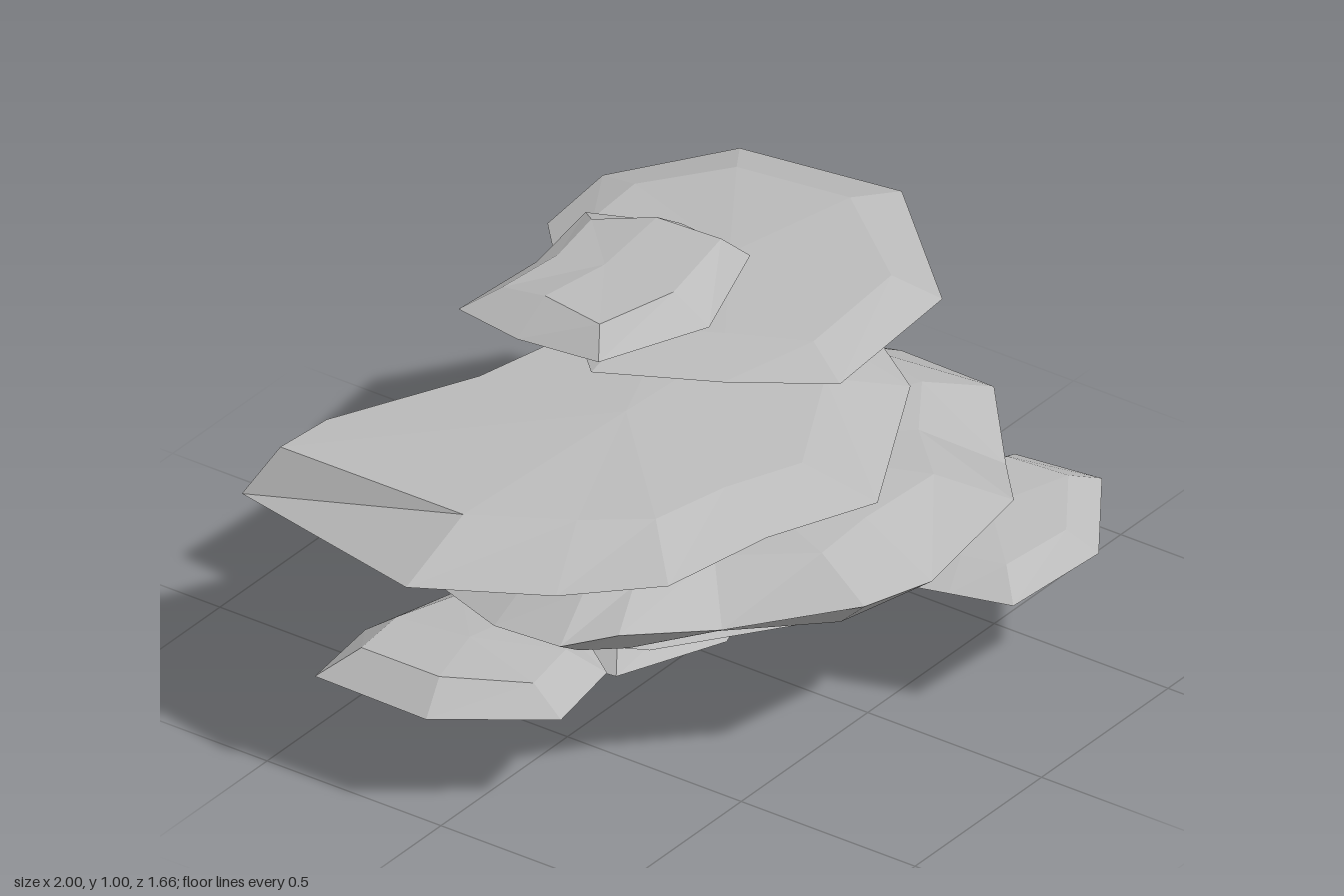
import * as THREE from 'three';

const stone = new THREE.MeshStandardMaterial({ color: 0xbababa });
stone.name = 'grey stone';

// Faceted slab: bottom hub, bottom ring, rim, top ring and top hub.
// Rim points are [x, z, rimY, topY, topInset], running counterclockwise from above.
function slab(name, { hub: [cx, cz], top, bottom, inset = 0.7, under = 0.7, rim }) {
  const ring = (scale, height) => rim.map((p) => {
    const s = scale(p);
    return [cx + (p[0] - cx) * s, height(p), cz + (p[1] - cz) * s];
  });
  const rings = [
    ring(() => under, (p) => bottom + (p[2] - bottom) * 0.2),
    ring(() => 1, (p) => p[2]),
    ring((p) => p[4] ?? inset, (p) => p[3]),
  ];
  const low = [cx, bottom, cz], high = [cx, top, cz], pos = [];
  const tri = (...corners) => corners.forEach((c) => pos.push(...c));
  rim.forEach((_, i) => {
    const j = (i + 1) % rim.length;
    tri(low, rings[0][j], rings[0][i]);
    for (let k = 0; k < 2; k++) {
      const [a, b] = [rings[k], rings[k + 1]];
      tri(a[i], a[j], b[j]);
      tri(a[i], b[j], b[i]);
    }
    tri(high, rings[2][i], rings[2][j]);
  });
  const geometry = new THREE.BufferGeometry();
  geometry.setAttribute('position', new THREE.Float32BufferAttribute(pos, 3));
  geometry.computeVertexNormals();
  const mesh = new THREE.Mesh(geometry, stone);
  mesh.name = name;
  return mesh;
}

// Small bean-shaped slab, shared by the top and bottom of the stack
function smallSlab(name, dx, y) {
  const rim = [
    [-0.37, -0.24, 0.045, 0.115, 0.68], [-0.35, -0.02, 0.05, 0.11, 0.8], [-0.05, 0.08, 0.035, 0.095, 0.66],
    [0.25, -0.02, 0.05, 0.11, 0.8], [0.28, -0.24, 0.045, 0.115, 0.68], [0.19, -0.45, 0.045, 0.085, 0.7],
    [-0.06, -0.41, 0.045, 0.085, 0.68], [-0.34, -0.43, 0.045, 0.085, 0.7],
  ].map(([x, z, r, t, s]) => [x + dx, z, r + y, t + y, s]);
  return slab(name, { hub: [dx - 0.05, -0.22], top: y + 0.1, bottom: y, under: 0.65, rim });
}

// Medium slab, used above and below the large ones
function mediumSlab(name, dx, y) {
  const rim = [
    [-0.2, -0.15, 0.07, 0.11], [-0.05, 0.12, 0.065, 0.11], [0.11, 0.34, 0.06, 0.105, 0.76],
    [0.57, 0.3, 0.055, 0.105, 0.76], [0.89, -0.05, 0.07, 0.118], [0.84, -0.48, 0.06, 0.112],
    [0.56, -0.67, 0.055, 0.1, 0.75], [0.3, -0.64, 0.06, 0.11, 0.75], [0.07, -0.43, 0.06, 0.11, 0.75],
  ].map(([x, z, r, t, s]) => [x + dx, z, r + y, t + y, s]);
  return slab(name, { hub: [dx + 0.36, -0.16], top: y + 0.12, bottom: y, rim });
}

export function createModel() {
  const model = new THREE.Group();
  model.name = 'stacked slabs';
  model.add(
    smallSlab('topSlab', 0, 0.885),
    mediumSlab('upperMediumSlab', 0, 0.72),
    // Broad slab reaching out to the right
    slab('upperLargeSlab', {
      hub: [-0.2, -0.05], top: 0.72, bottom: 0.56,
      rim: [
        [-1, -0.1, 0.61, 0.712, 0.74], [-0.82, 0.2, 0.605, 0.695], [-0.65, 0.4, 0.62, 0.69],
        [-0.33, 0.45, 0.615, 0.68], [-0.03, 0.55, 0.6, 0.67], [0.43, 0.31, 0.61, 0.685],
        [0.65, -0.02, 0.62, 0.71], [0.5, -0.33, 0.62, 0.72, 0.88], [0, -0.4, 0.6, 0.72, 0.9],
        [-0.28, -0.46, 0.6, 0.72, 0.9], [-0.69, -0.65, 0.6, 0.72, 0.9], [-0.88, -0.66, 0.61, 0.725, 0.9],
      ],
    }),
    // Thick slab in the middle
    slab('middleSlab', {
      hub: [0, 0], top: 0.56, bottom: 0.36, under: 0.86,
      rim: [
        [-0.79, 0, 0.44, 0.52, 0.78], [-0.79, 0.19, 0.45, 0.52, 0.82], [-0.71, 0.3, 0.48, 0.525, 0.8],
        [-0.48, 0.43, 0.43, 0.525, 0.72], [-0.26, 0.68, 0.475, 0.53, 0.75], [0.02, 0.67, 0.405, 0.515, 0.72],
        [0.33, 0.68, 0.48, 0.53, 0.75], [0.56, 0.49, 0.4, 0.52, 0.72], [0.76, 0.31, 0.45, 0.525, 0.76],
        [0.82, 0, 0.41, 0.52, 0.76], [0.72, -0.3, 0.41, 0.525, 0.76], [0.4, -0.68, 0.41, 0.52, 0.76],
        [0, -0.42, 0.41, 0.53, 0.74], [-0.26, -0.65, 0.41, 0.52, 0.74], [-0.55, -0.6, 0.41, 0.52, 0.74],
      ],
    }),
    // Broad slab reaching out to the left and back
    slab('lowerLargeSlab', {
      hub: [0.25, -0.1], top: 0.4, bottom: 0.21,
      rim: [
        [-0.62, -0.1, 0.29, 0.37], [-0.45, 0.2, 0.28, 0.37], [-0.1, 0.45, 0.28, 0.36],
        [0.35, 0.54, 0.27, 0.36], [0.78, 0.26, 0.28, 0.37], [1, -0.33, 0.3, 0.385],
        [0.84, -0.55, 0.31, 0.4, 0.86], [0.82, -0.64, 0.31, 0.41, 0.88], [0.74, -0.83, 0.31, 0.41, 0.88],
        [0.55, -0.78, 0.3, 0.41, 0.88], [0.2, -0.5, 0.29, 0.4, 0.86], [-0.3, -0.42, 0.29, 0.39, 0.82],
      ],
    }),
    // Small slabs standing out at the front and side
    slab('frontSmallSlab', {
      hub: [0.4, 0.56], top: 0.39, bottom: 0.28, under: 0.65,
      rim: [
        [0.06, 0.52, 0.33, 0.38], [0.1, 0.66, 0.33, 0.38], [0.15, 0.81, 0.325, 0.375],
        [0.46, 0.83, 0.325, 0.37], [0.72, 0.65, 0.34, 0.385], [0.69, 0.42, 0.34, 0.39],
        [0.45, 0.31, 0.33, 0.39], [0.2, 0.33, 0.33, 0.385],
      ],
    }),
    slab('sideSmallSlab', {
      hub: [-0.72, -0.12], top: 0.335, bottom: 0.215, under: 0.65,
      rim: [
        [-0.99, -0.37, 0.27, 0.335], [-0.99, -0.05, 0.265, 0.335], [-0.8, 0.2, 0.26, 0.315],
        [-0.55, 0.15, 0.25, 0.31], [-0.39, -0.08, 0.27, 0.315], [-0.48, -0.33, 0.27, 0.32],
        [-0.75, -0.4, 0.27, 0.33],
      ],
    }),
    mediumSlab('lowerMediumSlab', -0.1, 0.13),
    smallSlab('bottomSlab', 0.07, 0),
  );
  return model;
}
